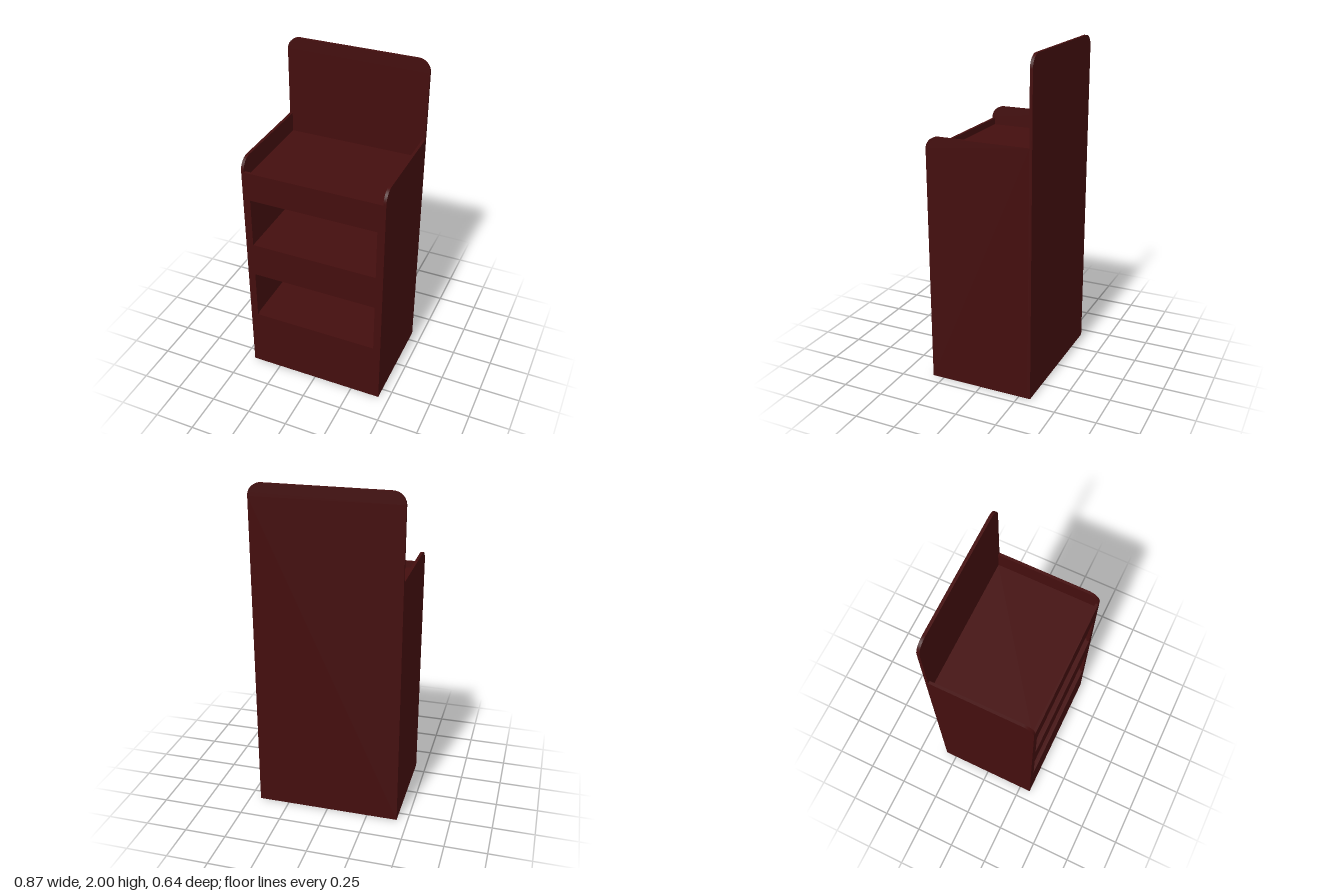
import * as THREE from 'three';

const W = 0.435, D = 0.322, T = 0.017; // half width, half depth, board thickness
const INNER = W - T;

export function createModel() {
  const group = new THREE.Group();
  const maroon = new THREE.MeshStandardMaterial({ color: 0x440e0e });
  maroon.name = 'darkMaroon';

  const add = (name, geometry, x = 0, y = 0, z = 0) => {
    const mesh = new THREE.Mesh(geometry, maroon);
    mesh.name = name;
    mesh.position.set(x, y, z);
    group.add(mesh);
    return mesh;
  };
  const board = (shape) =>
    new THREE.ExtrudeGeometry(shape, { depth: T, bevelEnabled: false, curveSegments: 10 });

  // Tall back board with two rounded top corners
  const r = 0.075;
  const back = new THREE.Shape();
  back.moveTo(-W, 0);
  back.lineTo(W, 0);
  back.lineTo(W, 2 - r);
  back.absarc(W - r, 2 - r, r, 0, Math.PI / 2);
  back.lineTo(-W + r, 2);
  back.absarc(-W + r, 2 - r, r, Math.PI / 2, Math.PI);
  back.closePath();
  add('backBoard', board(back), 0, 0, -D);

  // Side boards, rounded at the top front corner (drawn with -x as the front)
  const sideTop = 1.51;
  const side = new THREE.Shape();
  side.moveTo(-D, 0);
  side.lineTo(D - T, 0);
  side.lineTo(D - T, sideTop);
  side.lineTo(-D + r, sideTop);
  side.absarc(-D + r, sideTop - r, r, Math.PI / 2, Math.PI);
  side.closePath();
  for (const [name, x] of [['leftSide', INNER], ['rightSide', -W]]) {
    add(name, board(side), x).rotation.y = Math.PI / 2;
  }

  // Front board with two openings; its top edge is a lip above the counter
  const lip = 0.04, frontTop = 1.43, openings = [[0.395, 0.715], [0.935, 1.25]];
  const front = new THREE.Shape();
  front.moveTo(-INNER, 0);
  front.lineTo(INNER, 0);
  front.lineTo(INNER, frontTop);
  front.lineTo(-INNER, frontTop);
  front.closePath();
  for (const [low, high] of openings) {
    const hole = new THREE.Path();
    hole.moveTo(-0.39, low);
    hole.lineTo(-0.39, high);
    hole.lineTo(0.39, high);
    hole.lineTo(0.39, low);
    hole.closePath();
    front.holes.push(hole);
  }
  add('frontBoard', board(front), 0, 0, D - T);

  // Base, two shelves and the counter, all set between the boards
  const shelf = new THREE.BoxGeometry(2 * INNER, T, 2 * (D - T));
  add('base', shelf, 0, T / 2, 0);
  add('lowerShelf', shelf, 0, openings[0][0] - lip - T / 2, 0);
  add('upperShelf', shelf, 0, openings[1][0] - lip - T / 2, 0);
  add('counter', shelf, 0, frontTop - lip - T / 2, 0);

  return group;
}
